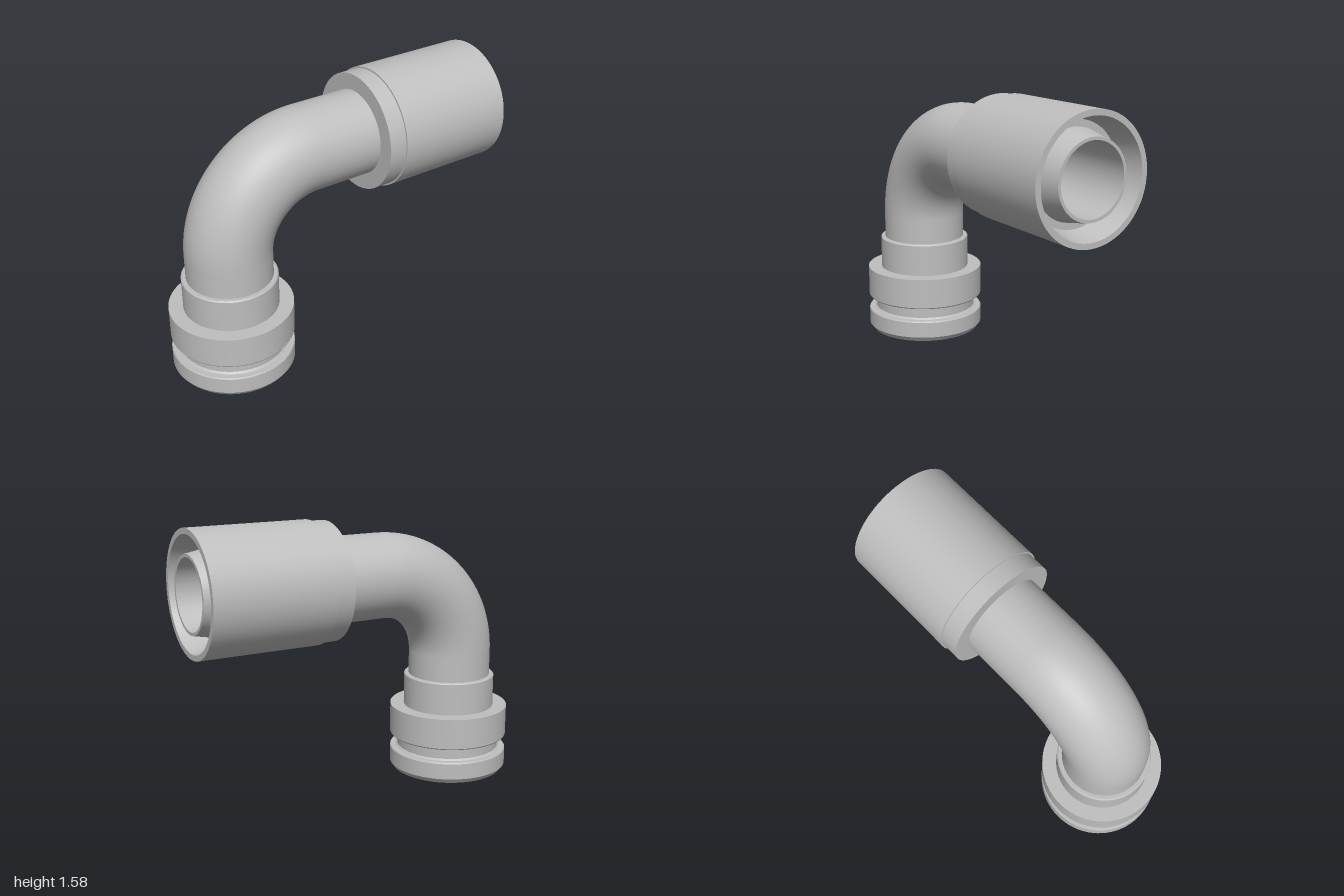
import * as THREE from 'three';
import { mergeGeometries } from 'three/addons/utils/BufferGeometryUtils.js';

const SEG = 72;
const AXIS_X = -0.645, AXIS_Y = 1.235;       // axes of the vertical and horizontal ends
const BEND = 0.495;                          // centreline radius of the elbow
const BEND_X = AXIS_X + BEND, BEND_Y = AXIS_Y - BEND;
const TUBE_R = 0.245, BORE_R = 0.197;

// Revolve [radius, height] points with a crisp edge at each one.
function turned(points) {
  const bands = [];
  for (let i = 0; i < points.length - 1; i++) {
    const pair = [points[i], points[i + 1]].map(([r, h]) => new THREE.Vector2(r, h));
    bands.push(new THREE.LatheGeometry(pair, SEG));
  }
  return mergeGeometries(bands);
}

// Quarter bend; inside = true turns its faces inward.
function bend(radius, inside) {
  const g = new THREE.TorusGeometry(BEND, radius, SEG, 40, Math.PI / 2);
  g.rotateZ(Math.PI / 2);
  if (inside) {
    const idx = g.index, n = g.attributes.normal;
    for (let i = 0; i < idx.count; i += 3) {
      const a = idx.getX(i);
      idx.setX(i, idx.getX(i + 1));
      idx.setX(i + 1, a);
    }
    for (let i = 0; i < n.count; i++) n.setXYZ(i, -n.getX(i), -n.getY(i), -n.getZ(i));
  }
  return g;
}

export function createModel() {
  const model = new THREE.Group();
  model.name = 'elbowFitting';
  const metal = new THREE.MeshStandardMaterial({ color: 0xbebebe });
  metal.name = 'grey metal';

  function add(name, geometry, x, y, horizontal = false) {
    const mesh = new THREE.Mesh(geometry, metal);
    mesh.name = name;
    mesh.position.set(x, y, 0);
    if (horizontal) mesh.rotation.z = -Math.PI / 2;
    model.add(mesh);
  }

  // Grooved foot, collar and flared bore
  add('groovedBase', turned([
    [0.295, 0], [0.333, 0], [0.355, 0.03], [0.355, 0.125], [0.35, 0.132],
    [0.318, 0.132], [0.308, 0.142], [0.308, 0.202], [0.318, 0.213],
    [0.35, 0.213], [0.355, 0.22], [0.355, 0.4], [0.272, 0.4],
    [0.272, 0.588], [0.265, 0.595], [TUBE_R, 0.595],
  ]), AXIS_X, 0);
  add('baseBore', turned([[BORE_R, BEND_Y], [BORE_R, 0.45], [0.295, 0]]), AXIS_X, 0);

  // Elbow pipe
  add('lowerPipe', turned([[TUBE_R, 0.595], [TUBE_R, BEND_Y]]), AXIS_X, 0);
  add('elbow', bend(TUBE_R, false), BEND_X, BEND_Y);
  add('elbowBore', bend(BORE_R, true), BEND_X, BEND_Y);
  add('upperPipe', turned([[TUBE_R, BEND_X], [TUBE_R, 0.195]]), 0, AXIS_Y, true);

  // Outer sleeve with a tapered mouth
  add('sleeve', turned([
    [TUBE_R, 0.195], [0.338, 0.195], [0.338, 0.3], [0.348, 0.3],
    [0.348, 1], [0.316, 1], [0.28, 0.85], [0.243, 0.85],
  ]), 0, AXIS_Y, true);

  // Tapered nose and the straight bore behind it
  add('innerNose', turned([
    [0.243, 0.85], [0.214, 1], [BORE_R, 1], [BORE_R, BEND_X],
  ]), 0, AXIS_Y, true);

  return model;
}
